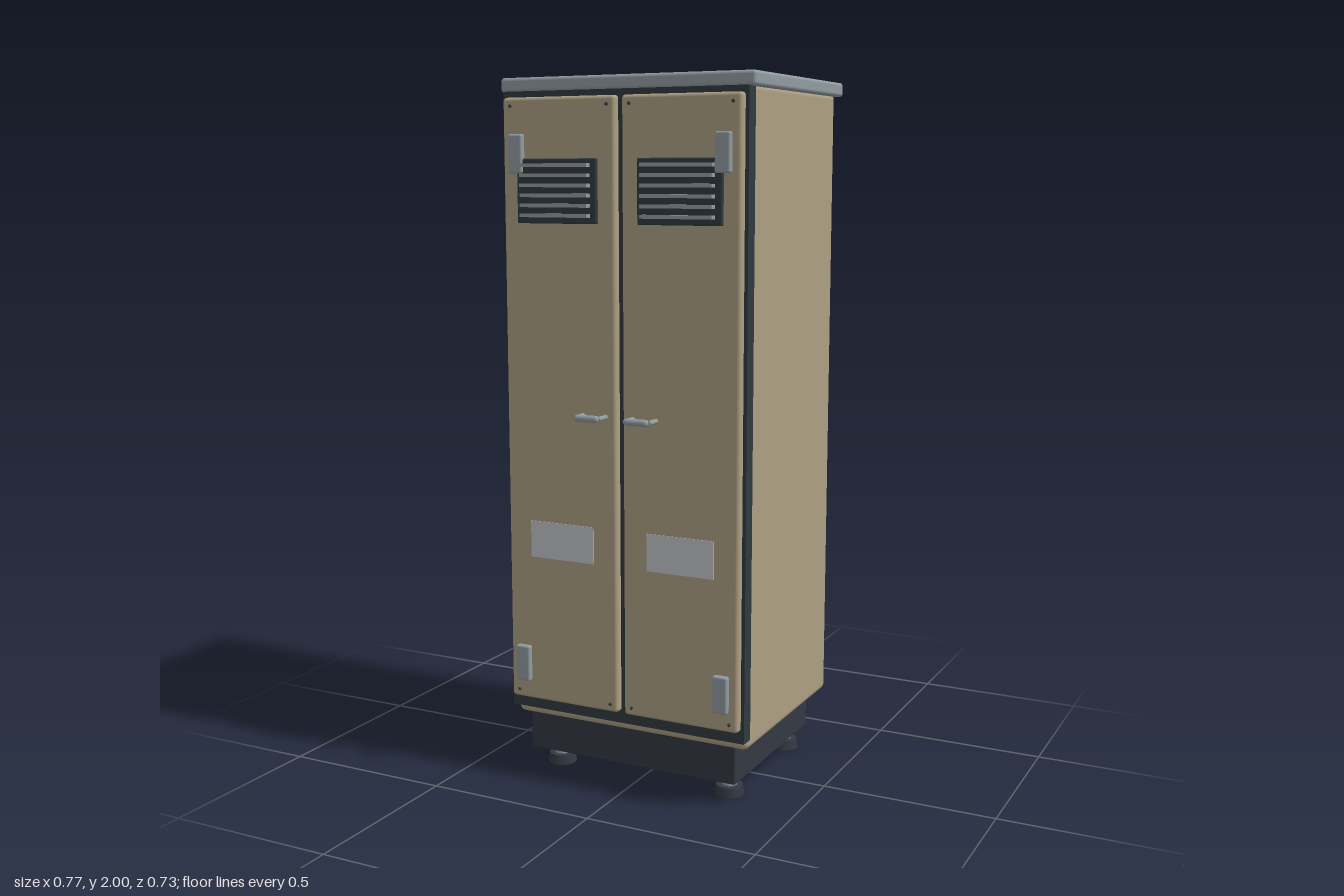
import * as THREE from 'three';
import { RoundedBoxGeometry } from 'three/addons/geometries/RoundedBoxGeometry.js';

const paint = (name, color) => {
  const m = new THREE.MeshStandardMaterial({ color });
  m.name = name;
  return m;
};

export function createModel() {
  const tan = paint('tan enamel', 0xad9f83);
  const steel = paint('grey steel', 0x909ba0);
  const seal = paint('dark seal', 0x2f393f);
  const dark = paint('charcoal', 0x343842);
  const card = paint('pale label', 0xc0c3cb);

  const locker = new THREE.Group();
  locker.name = 'locker';

  const add = (parent, name, geometry, material, x, y, z) => {
    const mesh = new THREE.Mesh(geometry, material);
    mesh.name = name;
    mesh.position.set(x, y, z);
    parent.add(mesh);
    return mesh;
  };
  // Box from its limits on each axis; r rounds the edges
  const box = (parent, name, material, [x0, x1], [y0, y1], [z0, z1], r = 0) => {
    const size = [x1 - x0, y1 - y0, z1 - z0];
    const geometry = r ? new RoundedBoxGeometry(...size, 3, r) : new THREE.BoxGeometry(...size);
    return add(parent, name, geometry, material, (x0 + x1) / 2, (y0 + y1) / 2, (z0 + z1) / 2);
  };

  // Cabinet shell, lid, door frame and plinth
  box(locker, 'cabinet', tan, [-0.37, 0.37], [0.17, 1.97], [-0.34, 0.26], 0.02);
  box(locker, 'lid', steel, [-0.385, 0.385], [1.96, 2], [-0.365, 0.275], 0.01);
  box(locker, 'doorFrame', seal, [-0.37, 0.37], [0.2, 1.962], [0.24, 0.282]);
  box(locker, 'plinth', dark, [-0.33, 0.33], [0.063, 0.19], [-0.285, 0.25], 0.005);

  // Four levelling feet
  for (const x of [-0.275, 0.275]) for (const z of [-0.24, 0.165]) {
    const foot = new THREE.Group();
    foot.name = 'foot';
    foot.position.set(x, 0, z);
    locker.add(foot);
    add(foot, 'footStem', new THREE.CylinderGeometry(0.022, 0.022, 0.05, 20), steel, 0, 0.047, 0);
    add(foot, 'footPad', new THREE.CylinderGeometry(0.038, 0.042, 0.028, 24), dark, 0, 0.014, 0);
  }

  // Two mirrored doors; every part is symmetric, so only its place is mirrored
  for (const side of [-1, 1]) {
    const door = new THREE.Group();
    door.name = side > 0 ? 'leftDoor' : 'rightDoor';
    locker.add(door);
    const span = (a, b) => (side > 0 ? [a, b] : [-b, -a]);

    box(door, 'doorPanel', tan, span(0.01, 0.36), [0.235, 1.945], [0.272, 0.304], 0.01);

    // Louvred vent
    box(door, 'ventPanel', seal, span(0.062, 0.31), [1.605, 1.78], [0.3, 0.315], 0.004);
    for (let i = 0; i < 6; i++) {
      const y = 1.627 + i * 0.027;
      box(door, 'ventSlat', steel, span(0.08, 0.29), [y - 0.005, y + 0.005], [0.312, 0.335]);
    }

    // Hinges
    for (const y of [0.343, 1.793])
      box(door, 'hinge', steel, span(0.29, 0.335), [y - 0.053, y + 0.053], [0.302, 0.322], 0.006);

    // Pull handle on two posts
    const grip = add(door, 'handleGrip', new THREE.CapsuleGeometry(0.01, 0.056, 6, 16), steel, side * 0.076, 1.08, 0.35);
    grip.rotation.z = Math.PI / 2;
    for (const x of [0.042, 0.113]) {
      const post = add(door, 'handlePost', new THREE.CylinderGeometry(0.007, 0.007, 0.046, 14), steel, side * x, 1.08, 0.326);
      post.rotation.x = Math.PI / 2;
    }

    // Blank label plate
    box(door, 'label', card, span(0.083, 0.287), [0.66, 0.766], [0.302, 0.3055]);

    // Corner screws
    for (const x of [0.034, 0.335]) for (const y of [0.258, 1.922])
      add(door, 'screw', new THREE.SphereGeometry(0.005, 10, 8), dark, side * x, y, 0.304);
  }

  return locker;
}
